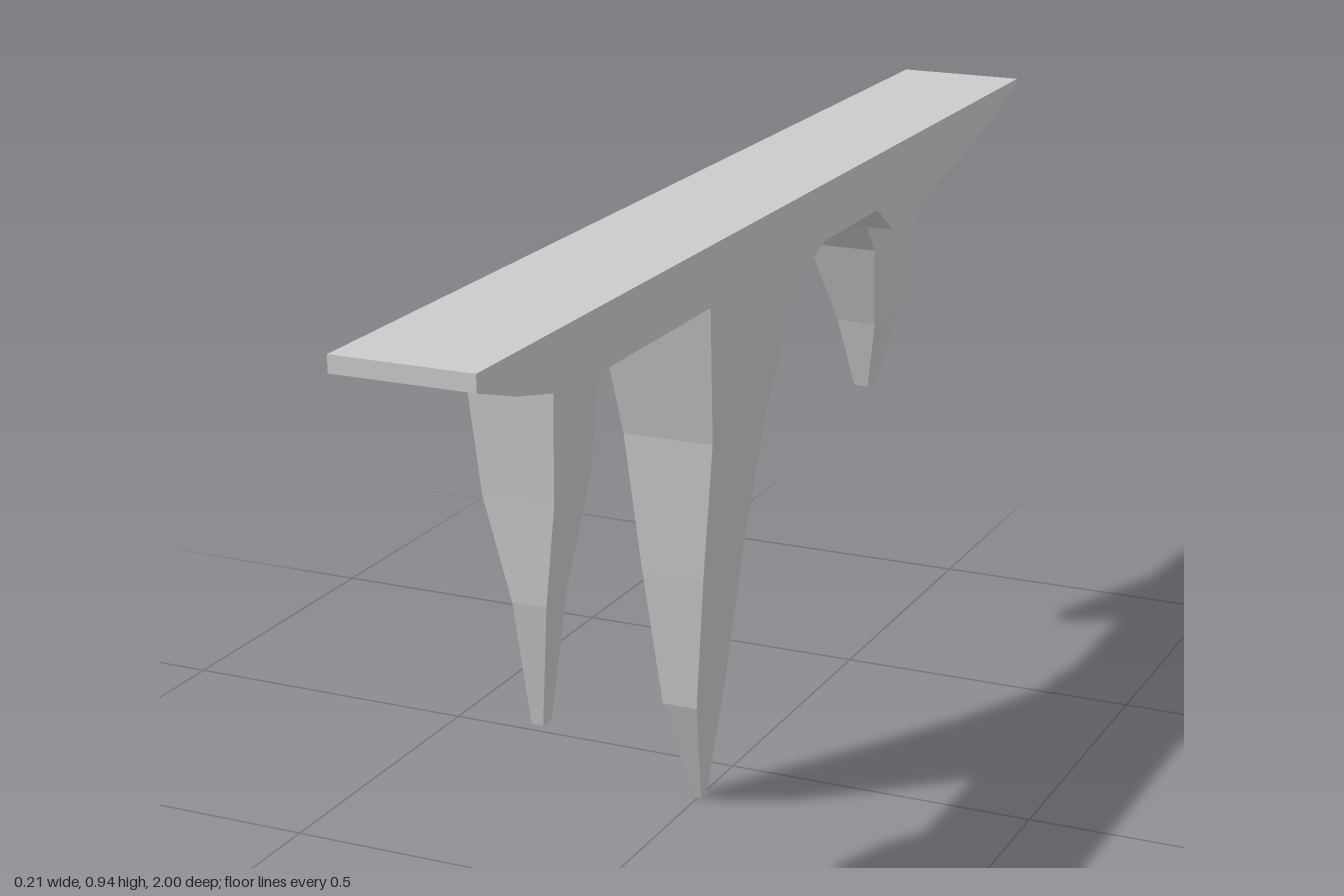
import * as THREE from 'three';

const material = new THREE.MeshStandardMaterial({ color: 0xcccccc, flatShading: true });

// Tapering four-sided spike lofted through rectangular rings, listed top to bottom.
// Each ring: [yFront, yBack, xMin, xMax, zFront, zBack]
function hangingSpike(name, rings) {
  const loops = rings.map(([yf, yb, x0, x1, zf, zb]) => [
    [x0, yf, zf], [x1, yf, zf], [x1, yb, zb], [x0, yb, zb],
  ]);
  const positions = [];
  const quad = (a, b, c, d) => positions.push(...a, ...b, ...c, ...a, ...c, ...d);
  for (let k = 0; k < loops.length - 1; k++) {
    const up = loops[k], low = loops[k + 1];
    for (let i = 0; i < 4; i++) {
      const j = (i + 1) % 4;
      quad(low[i], low[j], up[j], up[i]);
    }
  }
  // Blunt tip
  const tip = loops[loops.length - 1];
  quad(tip[0], tip[3], tip[2], tip[1]);

  const geometry = new THREE.BufferGeometry();
  geometry.setAttribute('position', new THREE.Float32BufferAttribute(positions, 3));
  geometry.computeVertexNormals();
  const mesh = new THREE.Mesh(geometry, material);
  mesh.name = name;
  return mesh;
}

// Flat-topped slab with an uneven underside; profile is [z, y], extruded across x
function slab() {
  const width = 0.21;
  const profile = [
    [1, 0.94], [-1, 0.94], [-1, 0.93], [-0.94, 0.917], [-0.86, 0.888], [-0.69, 0.85],
    [-0.4, 0.802], [-0.33, 0.85], [-0.11, 0.85], [-0.03, 0.815], [0.29, 0.85],
    [0.76, 0.85], [0.9, 0.883], [1, 0.915],
  ];
  const shape = new THREE.Shape(profile.map(([z, y]) => new THREE.Vector2(z, y)));
  const geometry = new THREE.ExtrudeGeometry(shape, { depth: width, bevelEnabled: false });
  geometry.translate(0, 0, -width / 2);
  geometry.rotateY(-Math.PI / 2);
  const mesh = new THREE.Mesh(geometry, material);
  mesh.name = 'slab';
  return mesh;
}

export function createModel() {
  const group = new THREE.Group();
  group.name = 'ledgeWithHangingSpikes';
  group.add(
    slab(),
    hangingSpike('frontSpike', [
      [0.85, 0.85, -0.066, 0.066, 0.723, 0.58],
      [0.67, 0.68, -0.052, 0.056, 0.708, 0.6],
      [0.52, 0.53, -0.016, 0.036, 0.698, 0.635],
      [0.33, 0.33, -0.008, 0.01, 0.665, 0.64],
    ]),
    hangingSpike('middleSpike', [
      [0.85, 0.815, -0.092, 0.095, 0.29, -0.03],
      [0.62, 0.61, -0.071, 0.074, 0.238, 0.045],
      [0.4, 0.4, -0.05, 0.051, 0.222, 0.076],
      [0.18, 0.18, -0.028, 0.029, 0.2, 0.097],
      [0, 0, -0.005, 0.006, 0.135, 0.115],
    ]),
    hangingSpike('backSpike', [
      [0.802, 0.85, -0.085, 0.06, -0.4, -0.69],
      [0.75, 0.75, -0.063, 0.054, -0.45, -0.637],
      [0.61, 0.61, -0.03, 0.037, -0.5, -0.615],
      [0.49, 0.49, -0.01, 0.014, -0.53, -0.57],
    ]),
  );
  return group;
}
